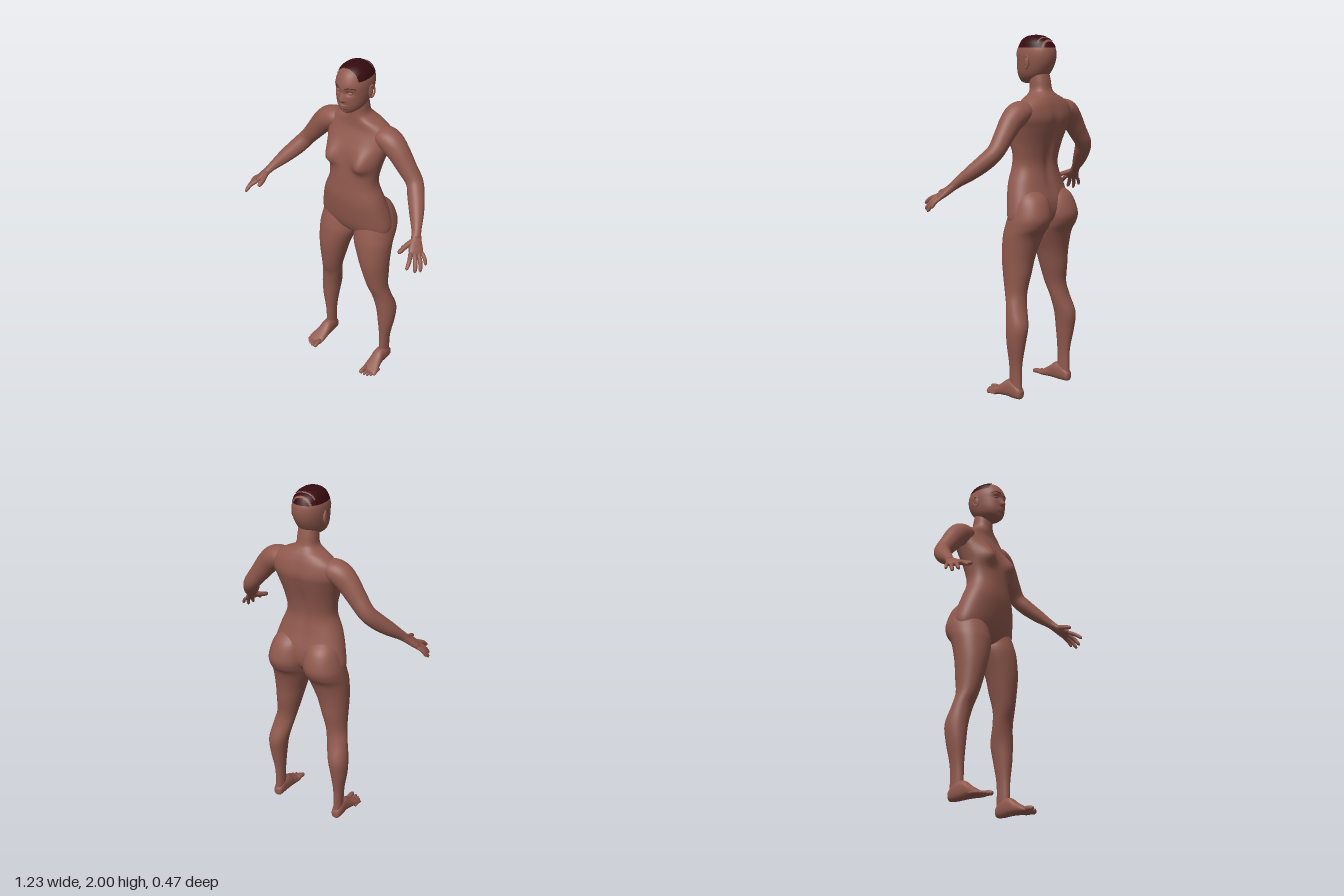
import * as THREE from 'three';

const V = (x, y, z) => new THREE.Vector3(x, y, z);
const skin = new THREE.MeshStandardMaterial({ color: 0x90594d });
skin.name = 'skin';
const hairColour = new THREE.MeshStandardMaterial({ color: 0x350b0f });
hairColour.name = 'hair';

// Smooth interpolation through rows of numbers
function smoothRows(rows, sub) {
  const out = [];
  for (let i = 0; i < rows.length - 1; i++) {
    const [a, b, c, d] = [-1, 0, 1, 2].map(k => rows[Math.min(rows.length - 1, Math.max(0, i + k))]);
    for (let s = 0; s < sub; s++) {
      const t = s / sub;
      out.push(b.map((q, k) => q + 0.5 * t * (c[k] - a[k] + t * (2 * a[k] - 5 * q + 4 * c[k] - d[k]
        + t * (3 * (q - c[k]) + d[k] - a[k])))));
    }
  }
  out.push(rows[rows.length - 1]);
  return out;
}

// Skin of superellipse sections [x, y, z, radiusU, radiusV]; axis fixed or following the path
function loft(rows, { axis, ref = V(1, 0, 0), seg = 32, sub = 5, p = 2, warp, keep } = {}) {
  const rs = smoothRows(rows, sub), pts = [], idx = [];
  const centre = i => V(...rs[Math.min(rs.length - 1, Math.max(0, i))].slice(0, 3));
  const bend = c => (warp && warp(c), c);
  rs.forEach((r, i) => {
    const w = axis || centre(i + 1).sub(centre(i - 1)).normalize();
    const u = ref.clone().addScaledVector(w, -ref.dot(w)).normalize();
    const v = w.clone().cross(u);
    for (let j = 0; j < seg; j++) {
      const a = j / seg * Math.PI * 2, c = Math.cos(a), s = Math.sin(a);
      pts.push(bend(centre(i)
        .addScaledVector(u, r[3] * Math.sign(c) * Math.abs(c) ** (2 / p))
        .addScaledVector(v, r[4] * Math.sign(s) * Math.abs(s) ** (2 / p))));
    }
  });
  const last = rs.length - 1, tip = pts.length;
  pts.push(bend(centre(0)), bend(centre(last)));
  const face = (a, b, c) => {
    const m = pts[a].clone().add(pts[b]).add(pts[c]).divideScalar(3);
    if (!keep || keep(m)) idx.push(a, b, c);
  };
  for (let j = 0; j < seg; j++) {
    const n = (j + 1) % seg;
    for (let i = 0; i < last; i++) {
      const a = i * seg + j, b = i * seg + n;
      face(a, b, a + seg);
      face(b, b + seg, a + seg);
    }
    face(tip, n, j);
    face(tip + 1, last * seg + j, last * seg + n);
  }
  const g = new THREE.BufferGeometry().setFromPoints(pts);
  g.setIndex(idx);
  g.computeVertexNormals();
  return g;
}

// Mirror image of a geometry across x = 0
function mirrored(geo) {
  const g = geo.clone();
  for (const name of ['position', 'normal']) {
    const a = g.attributes[name];
    for (let i = 0; i < a.count; i++) a.setX(i, -a.getX(i));
  }
  const ix = g.index.array;
  for (let i = 0; i < ix.length; i += 3) [ix[i], ix[i + 1]] = [ix[i + 1], ix[i]];
  return g;
}

// Horizontal section from half width and front and back depth
const level = (y, ru, front, back, x = 0) => [x, y, (front + back) / 2, ru, (front - back) / 2];
const down = V(0, -1, 0), ahead = V(0, 0, 1);
const bump = (d, w) => Math.exp(-((d / w) ** 2));

// Tapered finger or toe with a rounded tip
function digit(from, to, r, ref, lift = V(0, 0, 0)) {
  const rows = [[0, 1], [0.5, 0.98], [0.85, 0.85], [0.96, 0.55], [1, 0.05]].map(([t, k]) => {
    const c = from.clone().lerp(to, t).addScaledVector(lift, 4 * t * (1 - t));
    return [c.x, c.y, c.z, r * k, r * k];
  });
  return loft(rows, { ref, seg: 14, sub: 4 });
}

export function createModel() {
  const model = new THREE.Group();
  model.name = 'figure';
  const add = (name, geo, mat = skin) => {
    const m = new THREE.Mesh(geo, mat);
    m.name = name;
    model.add(m);
  };
  const pair = (name, geo, mat) => {
    add(name + 'Left', geo, mat);
    add(name + 'Right', mirrored(geo), mat);
  };

  // Neck and torso
  add('torso', loft([
    level(1.82, 0.05, -0.04, -0.13), level(1.76, 0.055, -0.035, -0.145), level(1.71, 0.06, -0.035, -0.155),
    level(1.685, 0.085, -0.035, -0.17), level(1.66, 0.14, -0.035, -0.185), level(1.62, 0.188, -0.03, -0.2),
    level(1.56, 0.198, -0.005, -0.21), level(1.5, 0.182, 0.018, -0.197), level(1.4, 0.157, 0.035, -0.167),
    level(1.3, 0.147, 0.045, -0.15), level(1.2, 0.185, 0.05, -0.165), level(1.1, 0.214, 0.037, -0.19),
    level(1.02, 0.226, 0.018, -0.185), level(0.97, 0.2, -0.005, -0.15), level(0.945, 0.11, -0.03, -0.11),
    level(0.937, 0.01, -0.06, -0.08)
  ], {
    axis: down, seg: 80, sub: 6, p: 2.25, warp: c => {
      if (c.z > -0.06) {
        const w = c.y > 1.445 ? 0.075 : 0.045;
        c.z += 0.05 * bump(Math.abs(c.x) - 0.105, 0.052) * bump(c.y - 1.445, w);
      } else if (c.z < -0.1) c.z += 0.014 * bump(c.x, 0.03) * bump(c.y - 1.38, 0.2);
    }
  }));

  // Head with modelled face
  const headRows = (grow = 0) => [
    level(2 + grow, 0.004, -0.055, -0.065), level(1.992 + grow, 0.04, -0.01, -0.11),
    level(1.967 + grow, 0.07, 0.027, -0.153), level(1.93, 0.085, 0.049, -0.175), level(1.9, 0.09, 0.056, -0.18),
    level(1.87, 0.089, 0.054, -0.177), level(1.84, 0.085, 0.054, -0.167), level(1.81, 0.079, 0.053, -0.15),
    level(1.785, 0.07, 0.049, -0.13), level(1.765, 0.056, 0.042, -0.1), level(1.748, 0.034, 0.03, -0.06),
    level(1.741, 0.01, 0.01, -0.03)
  ].map(r => [r[0], r[1], r[2], r[3] + grow, r[4] + grow]);
  add('head', loft(headRows(), {
    axis: down, seg: 96, sub: 8, p: 2.15, warp: c => {
      if (c.z < 0) return;
      const ax = Math.abs(c.x), y = c.y;
      c.z += 0.02 * bump(c.x, 0.011 + 0.006 * bump(y - 1.828, 0.012)) * bump(y - 1.832, y > 1.832 ? 0.03 : 0.011)
        - 0.012 * bump(ax - 0.035, 0.02) * bump(y - 1.872, 0.014)
        + 0.008 * bump(c.x, 0.024) * (bump(y - 1.798, 0.006) + bump(y - 1.785, 0.006))
        + 0.005 * bump(c.x, 0.02) * bump(y - 1.757, 0.01);
    }
  }));

  // Close-cropped hair with narrow partings at the back
  const parting = c => Math.abs(c.x) < 0.062 && (Math.abs(c.z + 0.125) < 0.004 || Math.abs(c.z + 0.153) < 0.005);
  add('hair', loft(headRows(0.002), {
    axis: down, seg: 96, sub: 10, p: 2.15, keep: c => c.y > 1.933 && c.z < 0.005 && !parting(c)
  }), hairColour);

  // Eyelids, eyebrows and ears
  const ball = (x, y, z, a, b, c) => new THREE.SphereGeometry(1, 20, 14).scale(a, b, c).translate(x, y, z);
  pair('eyelid', ball(0.035, 1.871, 0.029, 0.017, 0.009, 0.014));
  const brow = (x, y) => [x, y, -0.062 + 0.118 * (1 - (x / 0.09) ** 2.15) ** (1 / 2.15), 0.0022, 0.0022];
  pair('eyebrow', loft([brow(0.018, 1.898), brow(0.04, 1.904), brow(0.066, 1.897)], { ref: V(0, 1, 0), seg: 8 }), hairColour);
  pair('ear', ball(0.088, 1.856, -0.072, 0.011, 0.03, 0.016));
  pair('earRim', new THREE.TorusGeometry(0.02, 0.005, 8, 24).scale(0.85, 1.6, 1)
    .rotateY(Math.PI / 2 - 0.35).translate(0.094, 1.857, -0.075));

  // Arms from shoulder to wrist
  pair('arm', loft([
    [0.1, 1.605, -0.11, 0.03, 0.04], [0.15, 1.6, -0.108, 0.055, 0.065], [0.205, 1.58, -0.105, 0.066, 0.068],
    [0.255, 1.535, -0.103, 0.062, 0.06], [0.31, 1.465, -0.103, 0.053, 0.052], [0.365, 1.395, -0.1, 0.046, 0.047],
    [0.405, 1.34, -0.06, 0.046, 0.045], [0.45, 1.285, -0.005, 0.04, 0.038], [0.49, 1.235, 0.05, 0.028, 0.026],
    [0.515, 1.203, 0.083, 0.02, 0.024]
  ], { ref: V(0.8, 0.6, 0), seg: 36 }));

  // Hands: palm, four fingers and thumb
  const across = V(0.45, -0.05, -0.89);
  pair('palm', loft([
    [0.487, 1.238, 0.047, 0.024, 0.022], [0.513, 1.203, 0.083, 0.027, 0.02], [0.533, 1.177, 0.113, 0.037, 0.018],
    [0.55, 1.157, 0.135, 0.039, 0.014], [0.557, 1.148, 0.144, 0.03, 0.007]
  ], { ref: across, p: 2.4 }));
  const fingers = {
    indexFinger: [V(0.533, 1.16, 0.16), V(0.56, 1.11, 0.235), 0.0115],
    middleFinger: [V(0.545, 1.158, 0.143), V(0.59, 1.085, 0.2), 0.012],
    ringFinger: [V(0.555, 1.157, 0.123), V(0.605, 1.077, 0.17), 0.0115],
    littleFinger: [V(0.563, 1.155, 0.107), V(0.61, 1.1, 0.13), 0.01]
  };
  for (const [name, [a, b, r]] of Object.entries(fingers)) pair(name, digit(a, b, r, across, V(0.006, 0.007, 0)));
  pair('thumb', digit(V(0.513, 1.203, 0.095), V(0.487, 1.165, 0.205), 0.0145, across, V(-0.006, -0.002, 0)));

  // Legs, from buttock to ankle: height, inner, outer, front, back
  const legRows = [
    [1.17, 0.05, 0.15, -0.06, -0.15], [1.12, 0.015, 0.195, -0.02, -0.207], [1.03, 0.002, 0.224, 0.005, -0.237],
    [0.97, 0.003, 0.232, 0.022, -0.222], [0.91, 0.01, 0.235, 0.033, -0.182], [0.8, 0.05, 0.232, 0.035, -0.152],
    [0.7, 0.08, 0.228, 0.022, -0.14], [0.6, 0.108, 0.228, 0, -0.126], [0.52, 0.125, 0.245, -0.028, -0.137],
    [0.42, 0.148, 0.262, -0.04, -0.169], [0.32, 0.164, 0.257, -0.045, -0.158], [0.2, 0.178, 0.237, -0.054, -0.137],
    [0.1, 0.181, 0.231, -0.055, -0.135], [0.04, 0.182, 0.233, -0.06, -0.138]
  ];
  pair('leg', loft(legRows.map(([y, a, b, f, k]) => level(y, (b - a) / 2, f, k, (a + b) / 2)),
    { axis: down, seg: 48, p: 2.1 }));

  // Feet: depth, centre, half width, top, bottom
  const footRows = [
    [-0.143, 0.207, 0.008, 0.045, 0.02], [-0.132, 0.207, 0.025, 0.065, 0.004], [-0.09, 0.207, 0.032, 0.1, 0],
    [-0.04, 0.205, 0.035, 0.1, 0.002], [0, 0.208, 0.04, 0.07, 0.002], [0.04, 0.213, 0.047, 0.045, 0],
    [0.068, 0.215, 0.046, 0.028, 0.001], [0.082, 0.213, 0.036, 0.018, 0.005]
  ];
  pair('foot', loft(footRows.map(([z, x, w, t, b]) => [x, (t + b) / 2, z, w, (t - b) / 2]), { axis: ahead, p: 2.4 }));
  [[0.181, 0.118, 0.0145], [0.206, 0.116, 0.01], [0.225, 0.108, 0.0095], [0.242, 0.096, 0.009], [0.257, 0.08, 0.0085]]
    .forEach(([x, z, r], i) => pair('toe' + (i + 1),
      digit(V(x * 0.9 + 0.0215, r + 0.006, z - 0.06), V(x, r, z), r, V(1, 0, 0), V(0, 0.003, 0))));

  return model;
}
